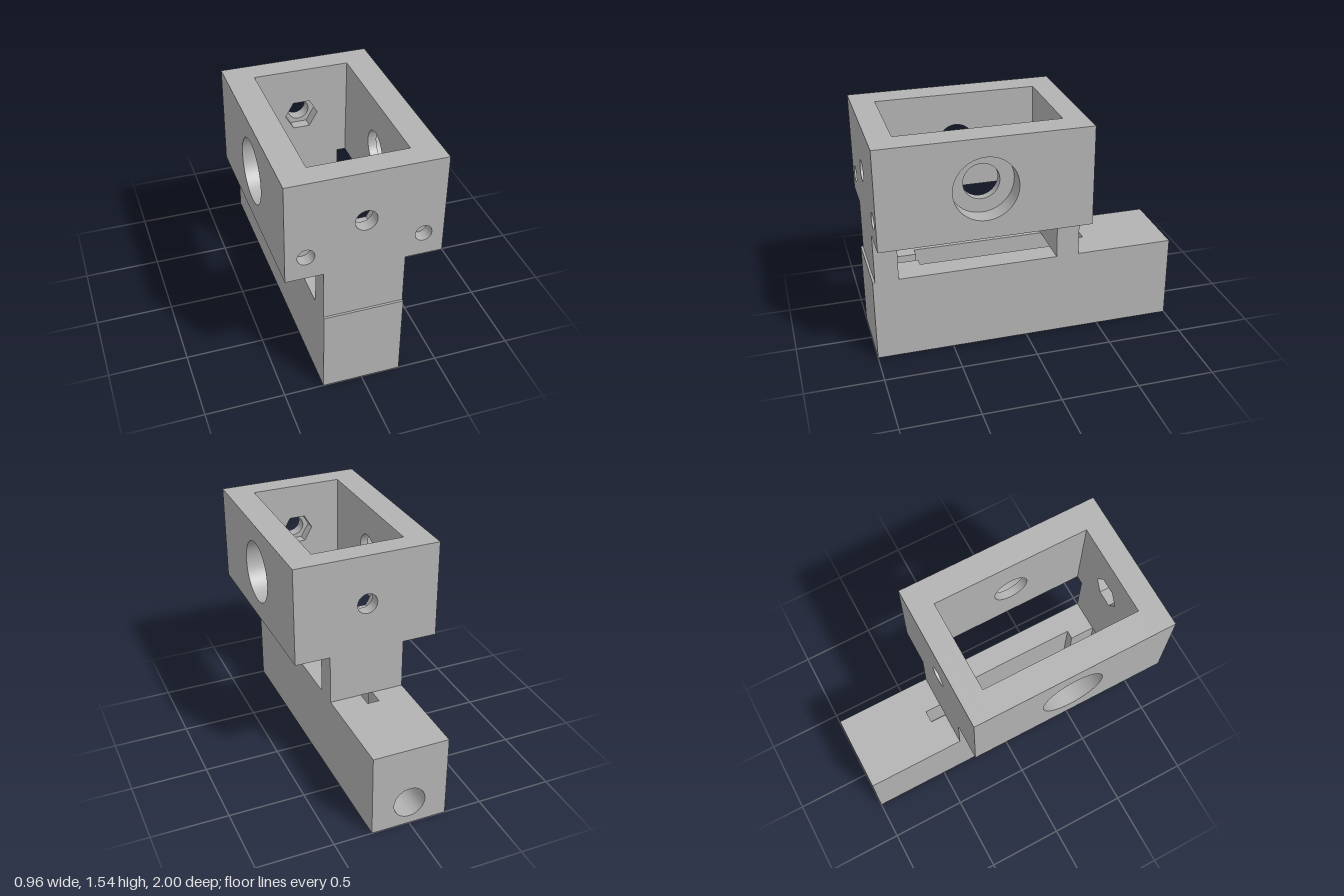
import * as THREE from 'three';
import { toCreasedNormals } from 'three/addons/utils/BufferGeometryUtils.js';

const grey = new THREE.MeshStandardMaterial({ color: 0xb2b2b2 });
grey.name = 'plain grey';

const polygon = (pts, Type = THREE.Path) => new Type(pts.map(([x, y]) => new THREE.Vector2(x, y)));
const rect = (x0, y0, x1, y1, Type) => polygon([[x0, y0], [x1, y0], [x1, y1], [x0, y1]], Type);
const circle = (x, y, r) => new THREE.Path().absarc(x, y, r, 0, Math.PI * 2, true);
const hexagon = (x, y, r) => polygon(Array.from({ length: 6 }, (_, i) =>
  [x + r * Math.cos(i * Math.PI / 3), y + r * Math.sin(i * Math.PI / 3)]));

// Extrudes an outline with holes from one position to another along an axis.
// Outline coordinates: z axis (x, y); y axis (x, -z); x axis (-z, y).
function slab(name, outline, holes, axis, from, to) {
  outline.holes.push(...holes);
  let geo = new THREE.ExtrudeGeometry(outline, { depth: to - from, bevelEnabled: false, curveSegments: 32 });
  geo.translate(0, 0, from);
  if (axis === 'y') geo.rotateX(-Math.PI / 2);
  if (axis === 'x') geo.rotateY(Math.PI / 2);
  geo = toCreasedNormals(geo, 0.5);
  const mesh = new THREE.Mesh(geo, grey);
  mesh.name = name;
  return mesh;
}

export function createModel() {
  const model = new THREE.Group();
  model.name = 'clampBracket';

  // Base bar: bored rear end, slotted lower layer, upper layer with narrow end slits
  const base = new THREE.Group();
  base.name = 'base';
  const baseOutline = () => rect(-0.25, -1, 0.25, 0.75, THREE.Shape);
  const slitFloor = 0.3;
  base.add(
    slab('boredEnd', rect(-0.25, 0, 0.25, 0.56, THREE.Shape), [circle(0, 0.16, 0.105)], 'z', -1, -0.75),
    slab('slottedBar', baseOutline(), [rect(-0.1, -0.67, 0.1, 0.29)], 'y', 0, slitFloor),
    slab('slitBar', baseOutline(), [polygon([
      [-0.1, -0.67], [-0.04, -0.67], [-0.04, -0.84], [0.04, -0.84], [0.04, -0.67], [0.1, -0.67],
      [0.1, 0.29], [0.04, 0.29], [0.04, 0.46], [-0.04, 0.46], [-0.04, 0.29], [-0.1, 0.29],
    ])], 'y', slitFloor, 0.56),
  );
  model.add(base);

  // T-shaped end walls with a bolt hole outside and a hexagonal nut pocket inside
  const wallOutline = () => polygon([
    [-0.25, 0.56], [0.25, 0.56], [0.25, 0.89], [0.48, 0.89],
    [0.48, 1.54], [-0.48, 1.54], [-0.48, 0.89], [-0.25, 0.89],
  ], THREE.Shape);
  const boltHole = () => circle(0, 1.215, 0.067);
  const nutPocket = () => hexagon(0, 1.215, 0.107);
  const pinHoles = [-1, 1].map((s) => circle(s * 0.355, 1.04, 0.052));
  model.add(
    slab('frontWallOuter', wallOutline(), [boltHole(), ...pinHoles], 'z', 0.905, 0.985),
    slab('frontWallInner', wallOutline(), [nutPocket()], 'z', 0.835, 0.905),
    slab('backWallInner', wallOutline(), [nutPocket()], 'z', -0.275, -0.205),
    slab('backWallOuter', wallOutline(), [boltHole()], 'z', -0.355, -0.275),
  );

  // Side walls with counterbored holes
  const sideOutline = () => rect(-0.835, 0.89, 0.205, 1.54, THREE.Shape);
  for (const [side, s] of [['left', 1], ['right', -1]]) {
    const layer = (part, r, a, b) => slab(side + part, sideOutline(), [circle(-0.32, 1.215, r)], 'x',
      Math.min(s * a, s * b), Math.max(s * a, s * b));
    model.add(layer('WallInner', 0.115, 0.305, 0.36), layer('WallOuter', 0.205, 0.36, 0.48));
  }

  return model;
}
